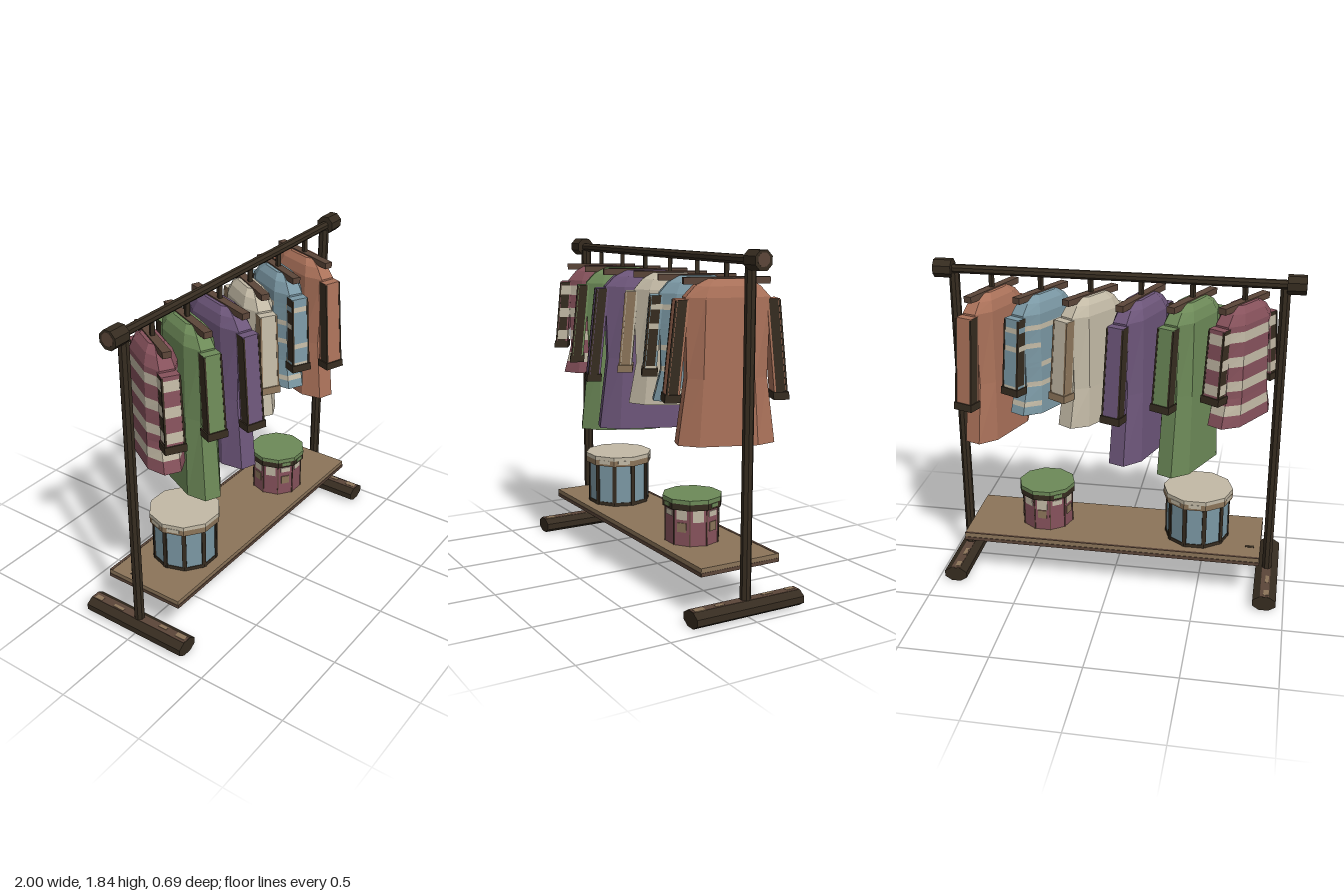
import * as THREE from 'three';

const mat = (name, color) => {
  const m = new THREE.MeshStandardMaterial({ color, flatShading: true });
  m.name = name;
  return m;
};
const M = {
  dark: mat('dark wood', 0x362c20), brown: mat('worn brown', 0x5c4639), tan: mat('tan wood', 0x8c755a),
  red: mat('dusty red', 0x87525c), green: mat('green', 0x6d8a58), purple: mat('purple', 0x6d567a),
  cream: mat('cream', 0xc3baa6), blue: mat('blue', 0x7b98a4), orange: mat('terracotta', 0xab725a),
};

function add(parent, name, geo, material, x = 0, y = 0, z = 0) {
  const m = new THREE.Mesh(geo, material);
  m.name = name;
  m.position.set(x, y, z);
  parent.add(m);
  return m;
}
const box = (w, h, d) => new THREE.BoxGeometry(w, h, d);
const prism = (r, h, n) => new THREE.CylinderGeometry(r, r, h, n).rotateY(Math.PI / n);

// Skin rings of [x, z] from the lowest y up; pick(y, side) gives the material index of each quad.
function loft(ringAt, ys, pick, count) {
  const faces = Array.from({ length: count }, () => []);
  const rings = ys.map(y => ringAt(y).map(([x, z]) => [x, y, z]));
  const n = rings[0].length;
  for (let k = 0; k < ys.length - 1; k++) {
    for (let i = 0; i < n; i++) {
      const j = (i + 1) % n, a = rings[k], b = rings[k + 1];
      faces[pick((ys[k] + ys[k + 1]) / 2, i)].push(a[i], a[j], b[j], a[i], b[j], b[i]);
    }
  }
  const low = rings[0], top = rings[rings.length - 1];
  for (let i = 1; i < n - 1; i++) {
    faces[0].push(low[0], low[i + 1], low[i], top[0], top[i], top[i + 1]);
  }
  const geo = new THREE.BufferGeometry();
  geo.setAttribute('position', new THREE.Float32BufferAttribute(faces.flat(2), 3));
  let start = 0;
  faces.forEach((f, i) => { geo.addGroup(start, f.length, i); start += f.length; });
  geo.computeVertexNormals();
  return geo;
}

// Levels between low and high, cut at the edges of every stripe
function levels(keys, stripes, half) {
  const lo = Math.min(...keys), hi = Math.max(...keys);
  const cuts = stripes.flatMap(s => [s - half, s + half]).filter(y => y > lo && y < hi);
  return [...new Set([...keys, ...cuts])].sort((a, b) => a - b);
}

// One hanging coat: body, sleeves, cuffs, hanger and hook
function coat({ name, x, turn, scale, hem, cuff, color, trim = M.dark, stripes = [], half = 0, broken = false }) {
  const g = new THREE.Group();
  g.name = name;
  g.position.x = x;
  g.rotation.y = THREE.MathUtils.degToRad(turn);
  const mats = [color, M.cream, trim];
  const striped = (y, i) => stripes.some((s, k) => Math.abs(y - s) < half && !(broken && (i + k) % 3 === 0));

  // y, half width, flat half width, half depth, end half depth
  const profile = [
    [hem, 0.25, 0.15, 0.1, 0.045],
    [1.2, 0.205, 0.13, 0.092, 0.042],
    [1.6, 0.215, 0.12, 0.085, 0.04],
    [1.655, 0.165, 0.1, 0.068, 0.034],
    [1.69, 0.1, 0.07, 0.042, 0.02],
  ];
  const bodyRing = y => {
    let k = 0;
    while (k < profile.length - 2 && y > profile[k + 1][0]) k++;
    const p = profile[k], q = profile[k + 1], t = (y - p[0]) / (q[0] - p[0]);
    const [w, f, d, e] = [1, 2, 3, 4].map(i => THREE.MathUtils.lerp(p[i], q[i], t));
    return [[w, e], [w, -e], [f, -d], [-f, -d], [-w, -e], [-w, e], [-f, d], [f, d]]
      .map(([a, b]) => [a * scale, b]);
  };
  const bodyLevels = levels(profile.map(p => p[0]), stripes, half);
  add(g, 'coatBody', loft(bodyRing, bodyLevels, (y, i) => striped(y, i) ? 1 : 0, 3), mats);

  for (const side of [-1, 1]) {
    // Sleeve leans outward; its front and back carry a dark seam panel
    const ring = grow => y => {
      const t = (1.6 - y) / 0.5, cx = side * (0.228 + 0.05 * t) * scale;
      const h = 0.034 + grow, k = 0.048 + 0.004 * t + grow, s = h * 0.7;
      return [[h, k], [h, -k], [s, -k], [-s, -k], [-h, -k], [-h, k], [-s, k], [s, k]]
        .map(([a, b]) => [cx + a, b]);
    };
    const pick = (y, i) => (i === 2 || i === 6) && !(stripes.length && striped(y, 1)) ? 2 : striped(y, i + 1) ? 1 : 0;
    add(g, 'sleeve', loft(ring(0), levels([cuff + 0.02, 1.59], stripes, half), pick, 3), mats);
    add(g, 'cuff', loft(ring(0.007), [cuff, cuff + 0.04], () => 0, 1), [trim]);
    // Dark edging down the outer corners
    for (const z of [-1, 1]) {
      const edge = y => {
        const r = ring(0.002)(y), c = r[(side > 0) === (z > 0) ? (z > 0 ? 0 : 5) : (z > 0 ? 5 : 1)];
        const p = side < 0 && z < 0 ? r[4] : c, u = 0.005;
        return [[u, u], [u, -u], [-u, -u], [-u, u]].map(([a, b]) => [p[0] + a - side * u, p[1] + b - z * u]);
      };
      add(g, 'sleeveEdge', loft(edge, [cuff + 0.03, 1.585], () => 0, 1), [trim]);
    }
  }
  add(g, 'hangerBar', box(0.44 * scale, 0.034, 0.046), M.brown, 0, 1.68, 0);
  add(g, 'hangerHook', box(0.022, 0.1, 0.022), M.dark, 0, 1.735, 0);
  return g;
}

// Ten-sided hat box with a lid
function hatBox(name, x, z, r, h, lidR, lidH, body, lidTop, lidRim) {
  const g = new THREE.Group();
  g.name = name;
  g.position.set(x, 0.275, z);
  add(g, 'boxBody', prism(r, h, 10), body, 0, h / 2, 0);
  add(g, 'lidRim', prism(lidR, lidH * 0.6, 10), lidRim, 0, h + lidH * 0.3, 0);
  add(g, 'lidTop', prism(lidR, lidH * 0.4, 10), lidTop, 0, h + lidH * 0.8, 0);
  return g;
}
// Thin plate on the box wall; whole numbers are face centres, halves are corners
function wallPlate(parent, name, i, r, y, w, h, material) {
  const a = i * Math.PI / 5, d = i % 1 ? r * 0.995 : r * Math.cos(Math.PI / 10);
  add(parent, name, box(w, h, 0.008), material, Math.sin(a) * d, y, Math.cos(a) * d).rotation.y = a;
}

export function createModel() {
  const model = new THREE.Group();
  model.name = 'clothesRack';

  // Frame
  add(model, 'rail', prism(0.025, 1.9, 8).rotateZ(Math.PI / 2), M.dark, 0, 1.788, 0);
  for (const s of [-1, 1]) {
    add(model, 'railCap', prism(0.053, 0.1, 8).rotateZ(Math.PI / 2), M.dark, s * 0.95, 1.79, 0);
    add(model, 'railCapWear', prism(0.036, 0.004, 8).rotateZ(Math.PI / 2), M.brown, s * 0.999, 1.794, 0);
    add(model, 'post', prism(0.029, 1.7, 8), M.dark, s * 0.893, 0.92, 0);
    const foot = prism(0.5, 0.65, 8).rotateX(Math.PI / 2).scale(0.13 / 0.924, 0.085 / 0.924, 1);
    add(model, 'foot', foot, M.dark, s * 0.893, 0.0425, 0);
    add(model, 'footTop', box(0.05, 0.004, 0.645), M.brown, s * 0.893, 0.085, 0);
    for (const [z, w, l] of [[-0.28, 0.03, 0.05], [-0.14, 0.02, 0.07], [0.16, 0.02, 0.05], [0.28, 0.035, 0.06]]) {
      add(model, 'footWear', box(w, 0.004, l), M.tan, s * 0.893 + 0.008 * Math.sign(z), 0.087, z);
    }
  }

  // Shelf with worn lower edges and stains underneath
  add(model, 'shelf', box(1.7, 0.044, 0.474), M.tan, 0, 0.253, 0);
  for (const s of [-1, 1]) {
    add(model, 'shelfLongEdge', box(1.7, 0.02, 0.004), M.brown, 0, 0.241, s * 0.238);
    add(model, 'shelfShortEdge', box(0.004, 0.02, 0.474), M.brown, s * 0.85, 0.241, 0);
    add(model, 'shelfTopWear', box(1.7, 0.003, 0.012), M.brown, 0, 0.2755, -0.231 * Math.max(s, 0) || -0.228);
  }
  for (const [x, z, w] of [[-0.7, 0.1, 0.03], [-0.55, -0.1, 0.035], [-0.6, 0.14, 0.025], [-0.25, 0.05, 0.03],
    [0.05, -0.12, 0.03], [0.3, 0.1, 0.03], [0.55, -0.05, 0.035], [0.7, 0.12, 0.025]]) {
    add(model, 'shelfStain', new THREE.CylinderGeometry(w, w, 0.003, 7).scale(1.4, 1, 0.8), M.dark, x, 0.231, z);
  }
  add(model, 'shelfMark', box(0.05, 0.003, 0.02), M.dark, -0.79, 0.276, -0.11);

  // Blue hat box with dark ribs and base band
  const blueBox = hatBox('blueHatBox', -0.477, 0, 0.18, 0.245, 0.198, 0.056, M.blue, M.cream, M.tan);
  add(blueBox, 'baseBand', prism(0.184, 0.02, 10), M.dark, 0, 0.01, 0);
  for (let i = 0; i < 10; i++) {
    wallPlate(blueBox, 'rib', i + 0.5, 0.18, 0.122, 0.024, 0.244, M.dark);
    if (i % 3) wallPlate(blueBox, 'rimPatch', i, 0.196, 0.268, 0.07, 0.022, M.cream);
  }
  model.add(blueBox);

  // Red hat box with faded patches
  const redBox = hatBox('redHatBox', 0.413, 0.022, 0.148, 0.197, 0.163, 0.056, M.red, M.green, M.dark);
  for (let i = 0; i < 10; i++) {
    wallPlate(redBox, 'seam', i + 0.5, 0.148, 0.098, 0.006, 0.196, M.brown);
    wallPlate(redBox, 'creamPatch', i, 0.148, 0.17, 0.06, 0.03 + 0.025 * (i % 3), M.cream);
    if (i % 2) wallPlate(redBox, 'tanPatch', i, 0.149, 0.1, 0.05, 0.05, M.tan);
    if (i % 3 === 0) wallPlate(redBox, 'rimPatch', i, 0.162, 0.218, 0.05, 0.02, M.green);
  }
  model.add(redBox);

  // Coats along the rail
  const coats = [
    { name: 'redStripedCoat', turn: 59, scale: 0.92, hem: 1.04, cuff: 1.19, color: M.red,
      stripes: [1.54, 1.405, 1.27, 1.135], half: 0.028 },
    { name: 'greenCoat', turn: 65, scale: 1, hem: 0.74, cuff: 1.14, color: M.green },
    { name: 'purpleCoat', turn: 70, scale: 1.08, hem: 0.8, cuff: 1.07, color: M.purple },
    { name: 'creamCoat', turn: 59, scale: 0.9, hem: 0.98, cuff: 1.15, color: M.cream, trim: M.tan },
    { name: 'blueStripedCoat', turn: 63, scale: 0.92, hem: 1.04, cuff: 1.17, color: M.blue,
      stripes: [1.53, 1.43, 1.32, 1.21, 1.1], half: 0.014, broken: true },
    { name: 'terracottaCoat', turn: 70, scale: 1, hem: 0.86, cuff: 1.08, color: M.orange },
  ];
  coats.forEach((c, i) => model.add(coat({ ...c, x: -0.685 + i * 0.274 })));
  return model;
}
